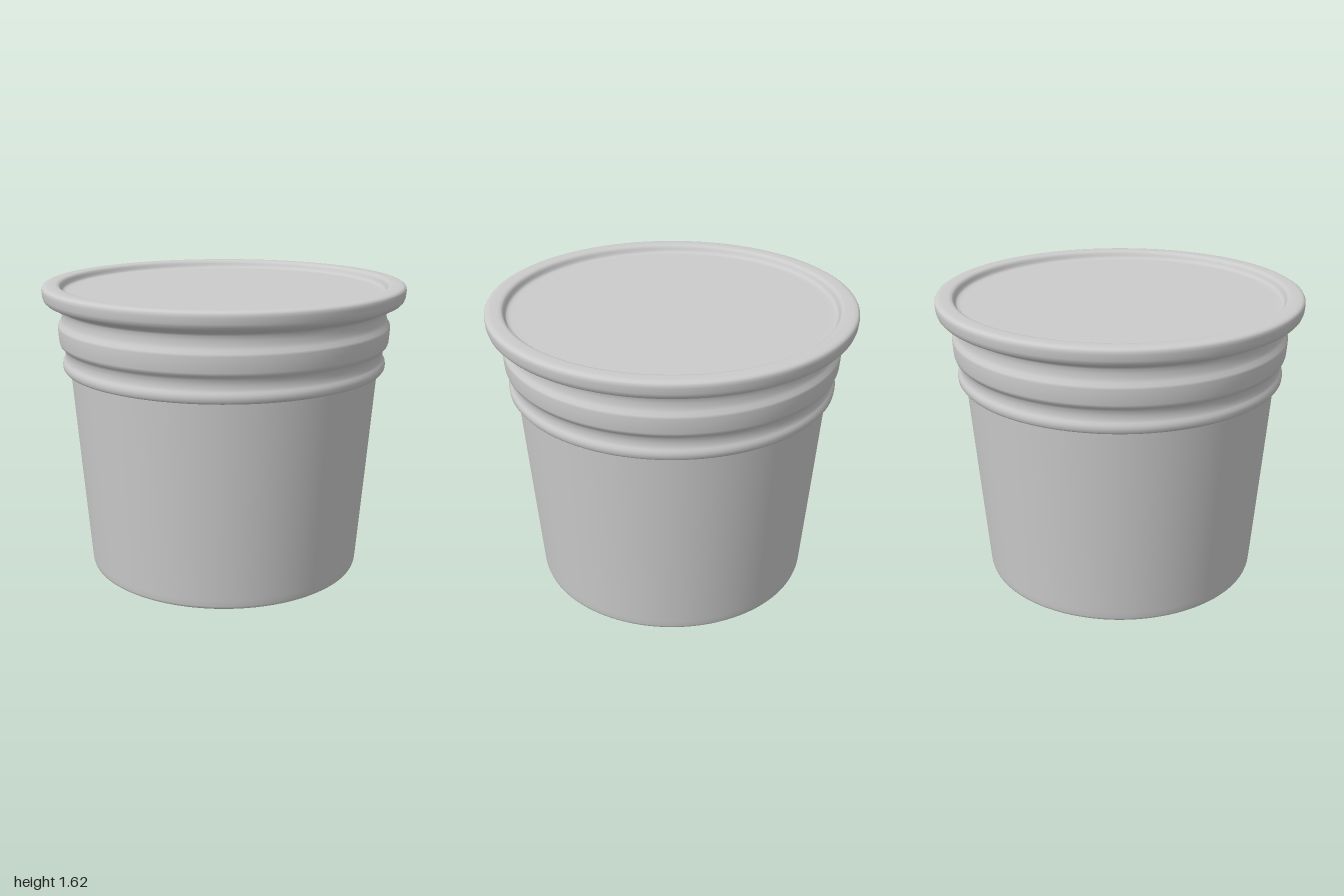
import * as THREE from 'three';

const SEGMENTS = 128;

// Revolve a [radius, height] profile, listed from the bottom outside to the top centre.
function revolve(name, profile) {
  const points = profile.map(([r, y]) => new THREE.Vector2(r, y));
  const material = new THREE.MeshStandardMaterial({ color: 0xcccccc, side: THREE.DoubleSide });
  const mesh = new THREE.Mesh(new THREE.LatheGeometry(points, SEGMENTS), material);
  mesh.name = name;
  return mesh;
}

export function createModel() {
  const model = new THREE.Group();
  model.name = 'liddedTub';

  // Tapered cup with a flat base and a small rounded foot edge
  model.add(revolve('cup', [
    [0, 0], [0.75, 0], [0.764, 0.001], [0.771, 0.006], [0.775, 0.018], [0.778, 0.05],
    [0.82, 0.6], [0.858, 1.11], [0.862, 1.17],
  ]));

  // Ribbed lid skirt, from the lower lip up to the underside of the rim
  model.add(revolve('lidSkirt', [
    [0.86, 1.147], [0.878, 1.147], [0.892, 1.152], [0.9, 1.163], [0.902, 1.18],
    [0.9, 1.196], [0.892, 1.208], [0.886, 1.222], [0.885, 1.245], [0.889, 1.268],
    [0.898, 1.283], [0.911, 1.294], [0.916, 1.31], [0.919, 1.35], [0.921, 1.39],
    [0.918, 1.403], [0.906, 1.42], [0.9, 1.44], [0.899, 1.465], [0.901, 1.486],
    [0.908, 1.498], [0.925, 1.506],
  ]));

  // Rolled rim, inner step and slightly sunken top panel
  model.add(revolve('lidTop', [
    [0.925, 1.506], [0.955, 1.517], [0.98, 1.53], [0.991, 1.542], [0.997, 1.56],
    [1, 1.59], [0.999, 1.604], [0.994, 1.613], [0.984, 1.619], [0.965, 1.621],
    [0.925, 1.621], [0.91, 1.618], [0.901, 1.611], [0.896, 1.6], [0.891, 1.587],
    [0.883, 1.58], [0.868, 1.577], [0.84, 1.577], [0, 1.577],
  ]));

  return model;
}
